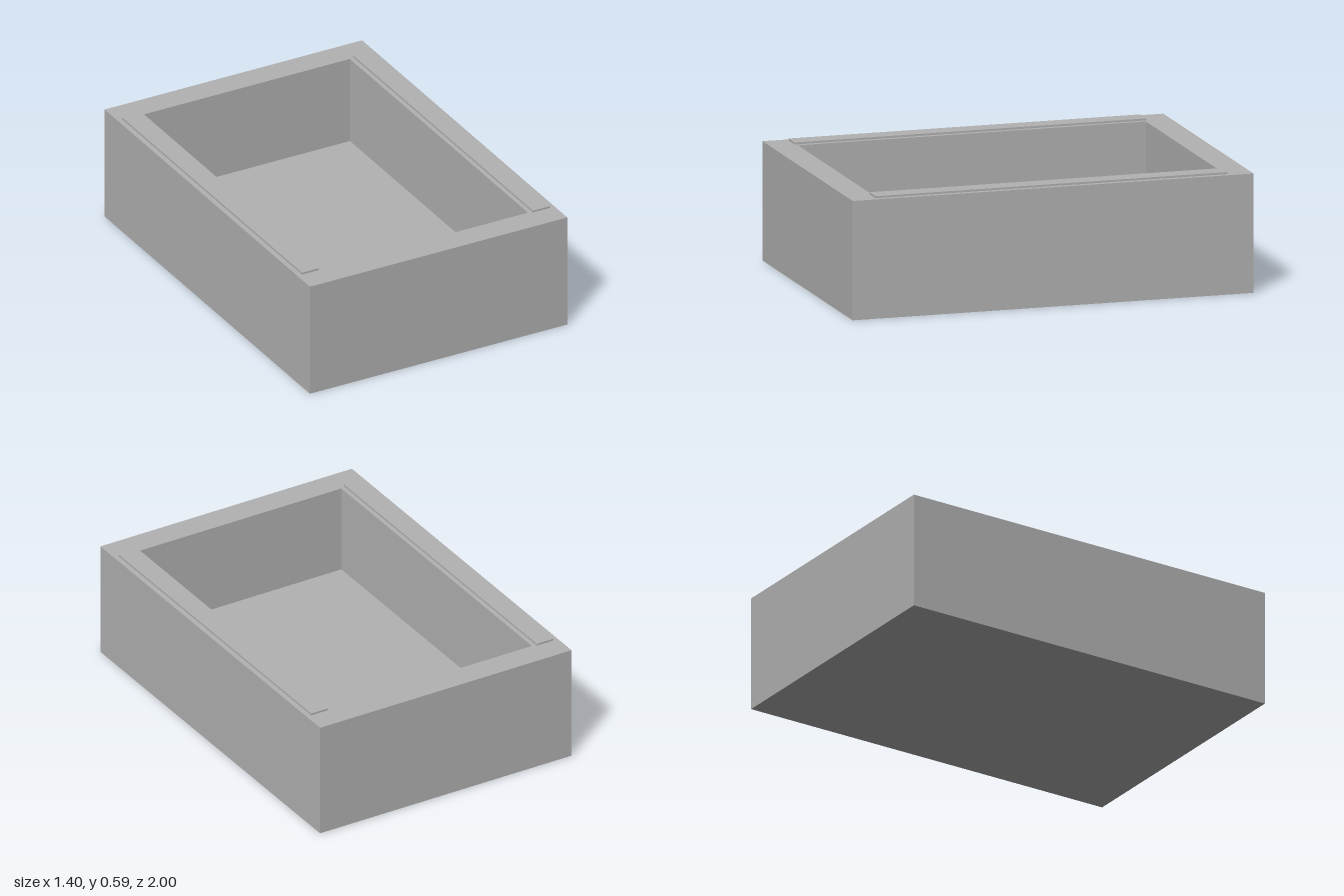
import * as THREE from 'three';

const WIDTH = 1.4, LENGTH = 2, HEIGHT = 0.58;
const INNER_W = 1.12, INNER_L = 1.735, FLOOR = 0.135;
const RAIL_W = 0.093, RAIL_L = 1.755, RAIL_H = 0.01, RAIL_X = 0.628;

// Corner points of a rectangle centred on the origin
function rectangle(w, l) {
  return [[-1, -1], [1, -1], [1, 1], [-1, 1]].map(
    ([x, y]) => new THREE.Vector2(x * w / 2, y * l / 2));
}

export function createModel() {
  const model = new THREE.Group();
  model.name = 'openBox';
  const grey = new THREE.MeshStandardMaterial({ color: 0xb2b2b2 });
  grey.name = 'grey';

  function add(name, geometry, x, y, z) {
    const mesh = new THREE.Mesh(geometry, grey);
    mesh.name = name;
    mesh.position.set(x, y, z);
    model.add(mesh);
  }

  // Four walls as one rectangular ring
  const ring = new THREE.Shape(rectangle(WIDTH, LENGTH));
  ring.holes.push(new THREE.Path(rectangle(INNER_W, INNER_L)));
  const walls = new THREE.ExtrudeGeometry(ring, { depth: HEIGHT, bevelEnabled: false });
  walls.rotateX(-Math.PI / 2);
  add('walls', walls, 0, 0, 0);

  // Thick floor closing the ring
  add('floor', new THREE.BoxGeometry(INNER_W, FLOOR, INNER_L), 0, FLOOR / 2, 0);

  // Low rails along the two long rims
  for (const [name, side] of [['leftRail', 1], ['rightRail', -1]]) {
    add(name, new THREE.BoxGeometry(RAIL_W, RAIL_H, RAIL_L),
      side * RAIL_X, HEIGHT + RAIL_H / 2, 0);
  }
  return model;
}
